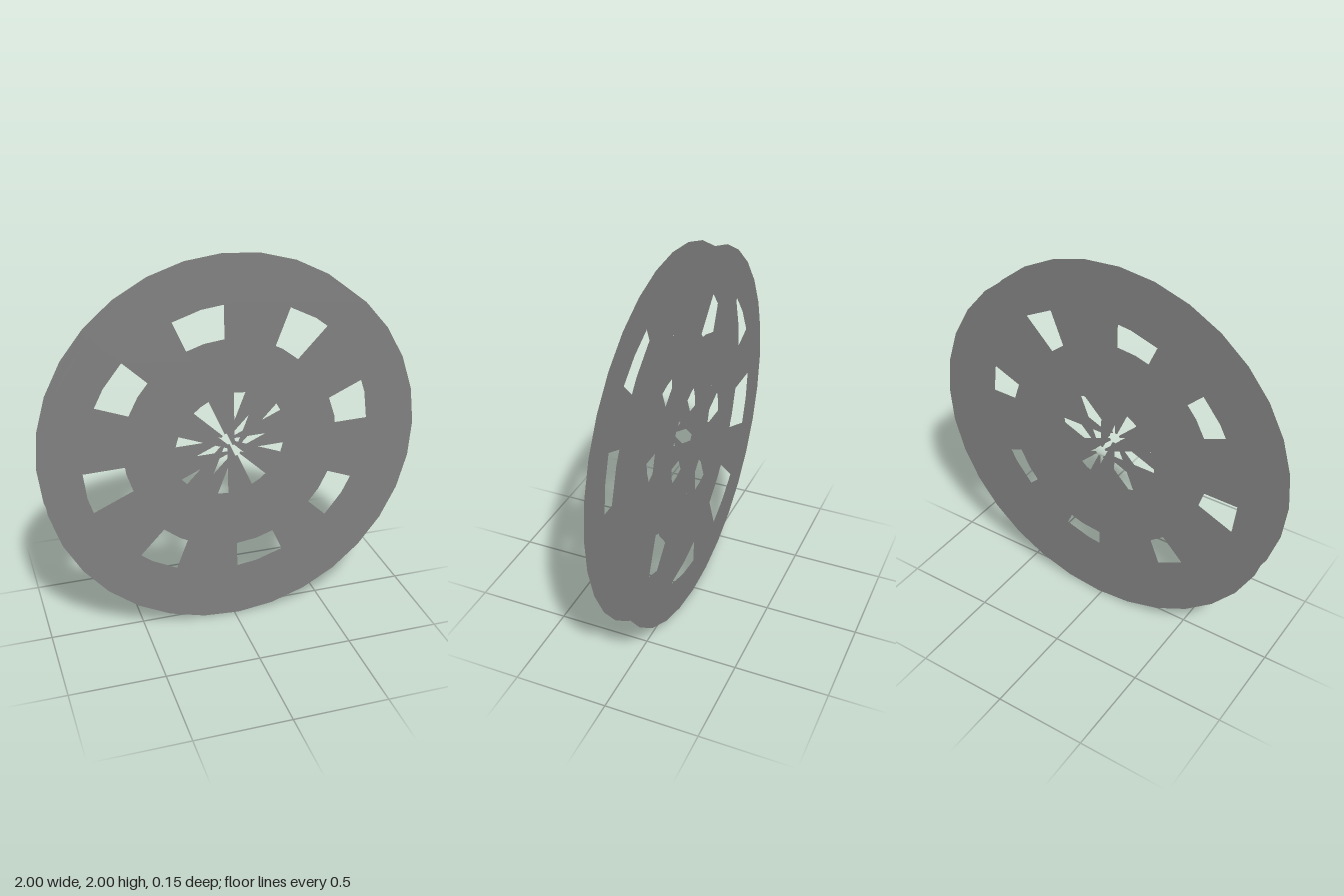
import * as THREE from 'three';

const STEP = Math.PI / 16; // 32 segments per turn
const PHASE = 0.021;       // small turn about the axle

const point = (r, i) => new THREE.Vector2(r * Math.cos(PHASE + i * STEP), r * Math.sin(PHASE + i * STEP));
const arc = (r, from, count) => Array.from({ length: count + 1 }, (_, k) => point(r, from + k));

// Flat wheel face: eight windows, eight tapering spokes and an open centre
function faceGeometry() {
  const shape = new THREE.Shape(arc(1, 0, 31));
  const centre = [];
  for (let k = 0; k < 8; k++) {
    const i = k * 4;
    // window
    shape.holes.push(new THREE.Path([...arc(0.79, i, 2), ...arc(0.557, i, 2).reverse()]));
    // spoke tip, then the wedge-shaped gap beside it
    centre.push(...arc(0.032, i, 2), ...arc(0.32, i + 2, 2));
  }
  shape.holes.push(new THREE.Path(centre));
  return new THREE.ShapeGeometry(shape);
}

export function createModel() {
  const wheel = new THREE.Group();
  wheel.name = 'wheel';
  const material = new THREE.MeshStandardMaterial({ color: 0x808080, side: THREE.DoubleSide, flatShading: true });
  const geometry = faceGeometry();

  // Two parallel faces with an open gap between them
  for (const [name, z] of [['frontFace', 0.067], ['backFace', -0.067]]) {
    const face = new THREE.Mesh(geometry, material);
    face.name = name;
    face.position.z = z;
    wheel.add(face);
  }

  // Slight lean of the wheel
  wheel.position.y = 1;
  wheel.rotation.set(-0.002, 0.0065, 0);

  const model = new THREE.Group();
  model.add(wheel);
  return model;
}
